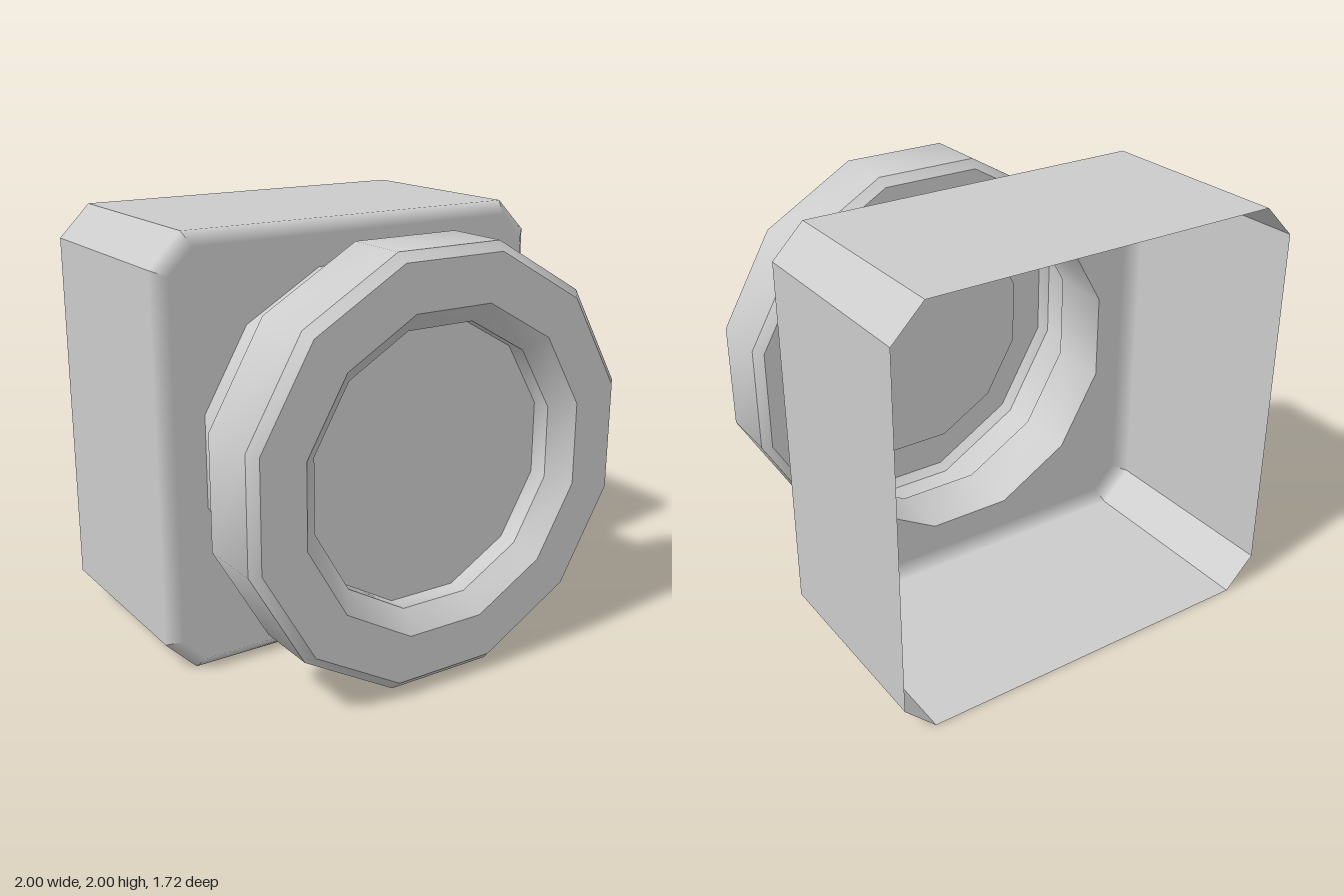
import * as THREE from 'three';
import { toCreasedNormals } from 'three/addons/utils/BufferGeometryUtils.js';

const SIDES = 12;
const toRadius = (apothem) => apothem / Math.cos(Math.PI / SIDES);
const material = new THREE.MeshStandardMaterial({ color: 0xcccccc, side: THREE.DoubleSide });

function part(name, geometry, parent) {
  const mesh = new THREE.Mesh(geometry, material);
  mesh.name = name;
  parent.add(mesh);
}

// Twelve-sided turned part along z; profile is [apothem, z] pairs
function turned(profile) {
  const points = profile.map(([a, z]) => new THREE.Vector2(toRadius(a), z));
  const g = new THREE.LatheGeometry(points, SIDES, Math.PI / SIDES).rotateX(Math.PI / 2);
  return toCreasedNormals(g, 0.6);
}

// Square with cut corners, counterclockwise: h = half width, c = where the cut starts
const cutSquare = (h, c) => [
  [h, -c], [h, c], [c, h], [-c, h], [-h, c], [-h, -c], [-c, -h], [c, -h],
].map(([x, y]) => new THREE.Vector2(x, y));

// Wall between two outlines; the normals turn toward +z if soft
function wall(back, zBack, front, zFront, soft) {
  const position = [], normal = [];
  back.forEach((p, i) => {
    const j = (i + 1) % back.length;
    const n = new THREE.Vector2().subVectors(back[j], p).normalize();
    const out = [n.y, -n.x, 0];
    const frontNormal = soft ? [0, 0, 1] : out;
    const a = [p.x, p.y, zBack], b = [back[j].x, back[j].y, zBack];
    const c = [front[j].x, front[j].y, zFront], d = [front[i].x, front[i].y, zFront];
    position.push(...a, ...b, ...c, ...a, ...c, ...d);
    normal.push(...out, ...out, ...frontNormal, ...out, ...frontNormal, ...frontNormal);
  });
  const g = new THREE.BufferGeometry();
  g.setAttribute('position', new THREE.Float32BufferAttribute(position, 3));
  g.setAttribute('normal', new THREE.Float32BufferAttribute(normal, 3));
  return g;
}

export function createModel() {
  const model = new THREE.Group();
  model.name = 'squareSocketWithCollar';
  const body = new THREE.Group();
  body.name = 'body';
  body.position.y = 1;
  model.add(body);

  // Housing: hollow box, open at the back, softened front edge
  const outer = cutSquare(1, 0.85);
  const inner = cutSquare(0.94, 0.825);
  part('housingSides', wall(outer, -0.86, outer, 0.11, false), body);
  part('housingBevel', wall(outer, 0.11, inner, 0.17, true), body);

  // Front plate with the neck opening
  const plate = new THREE.Shape(inner);
  const opening = [];
  for (let i = 0; i < SIDES; i++) {
    const t = ((i + 0.5) / SIDES) * Math.PI * 2;
    const r = toRadius(0.795);
    opening.push(new THREE.Vector2(r * Math.cos(t), r * Math.sin(t)));
  }
  plate.holes.push(new THREE.Path(opening));
  part('frontPlate', new THREE.ShapeGeometry(plate).translate(0, 0, 0.17), body);

  // Neck and hollow collar with a tapered recess
  part('neck', turned([[0.795, 0.17], [0.795, 0.48]]), body);
  part('collar', turned([
    [0.795, 0.48], [0.92, 0.48], [0.96, 0.52], [0.96, 0.82], [0.92, 0.86],
    [0.71, 0.86], [0.62, 0.77], [0.62, 0.68],
  ]), body);

  // Disc closing the recess
  const disc = new THREE.CircleGeometry(toRadius(0.62), SIDES, Math.PI / SIDES);
  part('recessFloor', disc.translate(0, 0, 0.68), body);

  return model;
}
